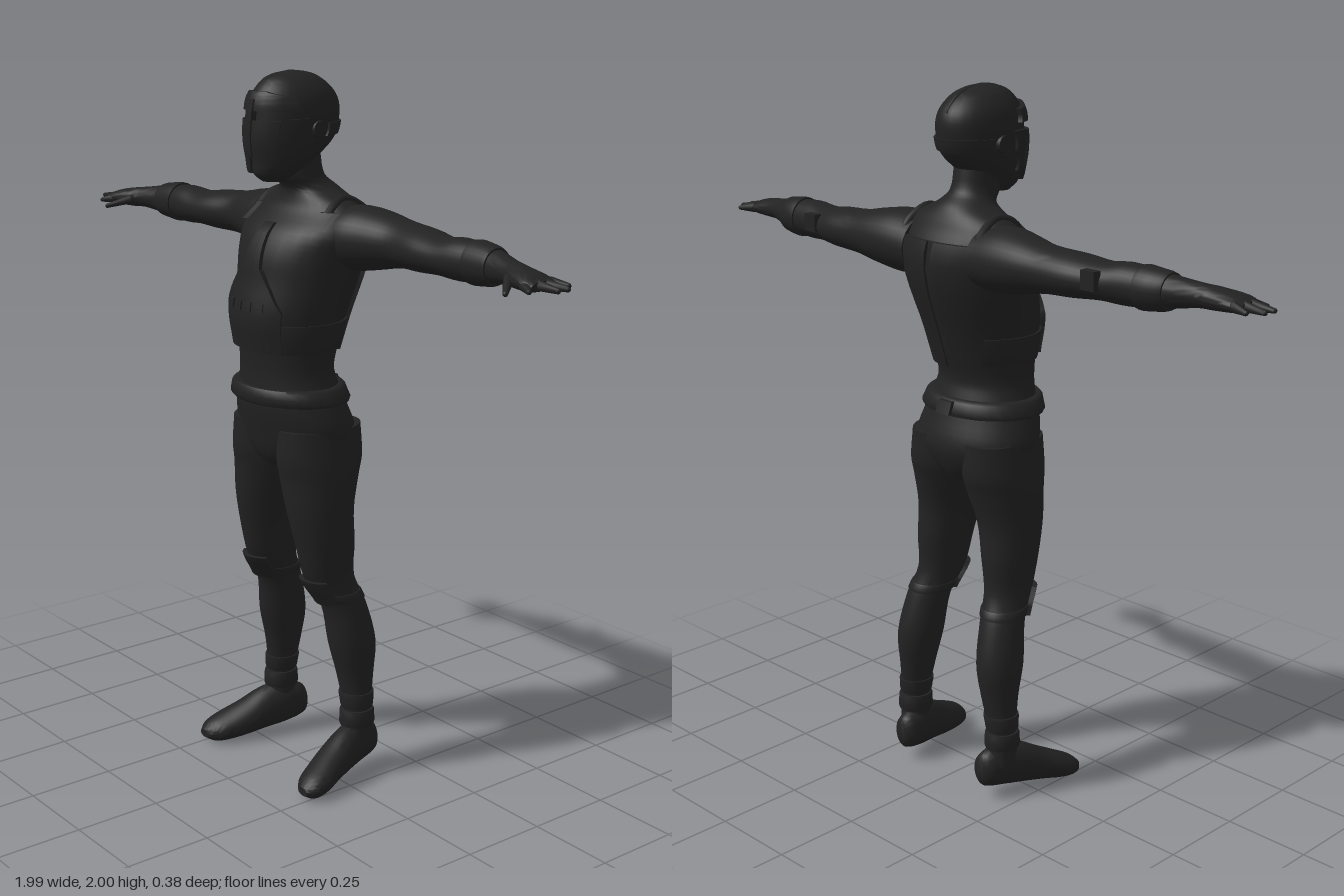
import * as THREE from 'three';
import { toCreasedNormals } from 'three/addons/utils/BufferGeometryUtils.js';

// Sections are [t, centre1, centre2, radius1, radius2] along one axis
const TORSO = [[0.92, 0, 0, 0.06, 0.1], [0.96, 0, 0, 0.15, 0.122], [1.02, 0, 0, 0.196, 0.138], [1.1, 0, 0.02, 0.18, 0.135],
  [1.16, 0, 0.03, 0.155, 0.125], [1.2, 0, 0.035, 0.146, 0.12], [1.26, 0, 0.03, 0.15, 0.13], [1.35, 0, 0.022, 0.165, 0.15],
  [1.45, 0, -0.005, 0.185, 0.158], [1.52, 0, -0.02, 0.2, 0.158], [1.58, 0, -0.035, 0.215, 0.14], [1.63, 0, -0.05, 0.19, 0.1],
  [1.66, 0, -0.05, 0.15, 0.085], [1.69, 0, -0.04, 0.085, 0.075], [1.72, 0, -0.01, 0.065, 0.07], [1.78, 0, 0, 0.062, 0.065]];
const HEAD = [[1.71, 0, 0.08, 0.03, 0.03], [1.73, 0, 0.07, 0.052, 0.065], [1.77, 0, 0.045, 0.078, 0.095],
  [1.82, 0, 0.02, 0.094, 0.128], [1.88, 0, 0.01, 0.1, 0.135], [1.93, 0, 0.01, 0.094, 0.128],
  [1.97, 0, 0.015, 0.07, 0.096], [1.99, 0, 0.02, 0.042, 0.058], [2, 0, 0.02, 0.005, 0.008]];
const ARM = [[0.12, 1.56, -0.07, 0.085, 0.1], [0.2, 1.565, -0.075, 0.088, 0.1], [0.27, 1.567, -0.085, 0.078, 0.088],
  [0.35, 1.567, -0.09, 0.063, 0.074], [0.45, 1.565, -0.08, 0.057, 0.077], [0.53, 1.563, -0.07, 0.05, 0.067],
  [0.6, 1.565, -0.065, 0.055, 0.058], [0.7, 1.565, -0.062, 0.046, 0.045], [0.8, 1.565, -0.037, 0.031, 0.035],
  [0.84, 1.562, -0.025, 0.029, 0.041], [0.9, 1.558, -0.015, 0.022, 0.05], [0.93, 1.555, -0.015, 0.012, 0.045]];
const LEG = [[1.04, 0.1, 0, 0.09, 0.13], [0.95, 0.103, 0, 0.1, 0.13], [0.9, 0.106, 0.003, 0.1, 0.118], [0.8, 0.12, 0.01, 0.085, 0.1],
  [0.7, 0.13, 0, 0.072, 0.09], [0.6, 0.135, -0.012, 0.06, 0.076], [0.52, 0.15, -0.05, 0.06, 0.067], [0.4, 0.163, -0.073, 0.062, 0.072],
  [0.3, 0.17, -0.08, 0.05, 0.055], [0.2, 0.18, -0.08, 0.04, 0.042], [0.1, 0.18, -0.08, 0.042, 0.05]];
const FOOT = [[-0.155, 0.165, 0.087, 0.018, 0.028], [-0.143, 0.166, 0.087, 0.034, 0.048], [-0.08, 0.175, 0.09, 0.045, 0.066],
  [-0.02, 0.19, 0.08, 0.05, 0.064], [0.04, 0.205, 0.06, 0.055, 0.052], [0.1, 0.225, 0.041, 0.055, 0.041],
  [0.14, 0.235, 0.031, 0.045, 0.03], [0.165, 0.24, 0.027, 0.02, 0.012]];
const alongY = (t, p, q) => [p, t, q];
const alongX = (t, p, q) => [t, p, q];
const alongZ = (t, p, q) => [p, q, t];

// Smooth section at t, by Hermite interpolation
function sample(secs, t) {
  const dir = Math.sign(secs[1][0] - secs[0][0]);
  let i = 0;
  while (i < secs.length - 2 && (t - secs[i + 1][0]) * dir > 0) i++;
  const a = secs[i], b = secs[i + 1], h = b[0] - a[0];
  const p = secs[Math.max(i - 1, 0)], n = secs[Math.min(i + 2, secs.length - 1)];
  const u = THREE.MathUtils.clamp((t - a[0]) / h, 0, 1), u2 = u * u, u3 = u2 * u;
  return [1, 2, 3, 4].map(k => {
    const ma = (b[k] - p[k]) / (b[0] - p[0]) * h, mb = (n[k] - a[k]) / (n[0] - a[0]) * h;
    return (2 * u3 - 3 * u2 + 1) * a[k] + (u3 - 2 * u2 + u) * ma + (3 * u2 - 2 * u3) * b[k] + (u3 - u2) * mb;
  });
}

// Closed solid from rings of points; corner order is set by the sign of its volume
function solid(rings) {
  const n = rings[0].length, pts = rings.flat(), idx = [];
  for (let i = 0; i < rings.length - 1; i++) for (let j = 0; j < n; j++) {
    const a = i * n + j, b = i * n + (j + 1) % n;
    idx.push(a, b, b + n, a, b + n, a + n);
  }
  const last = (rings.length - 1) * n;
  for (let j = 0; j < n / 2 - 1; j++) {
    const q = [j, j + 1, n - 2 - j, n - 1 - j];
    idx.push(q[0], q[2], q[1], q[0], q[3], q[2]);
    idx.push(...[q[0], q[1], q[2], q[0], q[2], q[3]].map(v => v + last));
  }
  let vol = 0;
  const v = pts.map(p => new THREE.Vector3(...p)), c = new THREE.Vector3();
  for (let i = 0; i < idx.length; i += 3) vol += v[idx[i]].dot(c.crossVectors(v[idx[i + 1]], v[idx[i + 2]]));
  if (vol < 0) idx.reverse();
  const g = new THREE.BufferGeometry();
  g.setAttribute('position', new THREE.Float32BufferAttribute(pts.flat(), 3));
  g.setIndex(idx);
  return toCreasedNormals(g, 0.8);
}

function ring([p, q, rp, rq], t, axis, grow = 0, n = 32) {
  return Array.from({ length: n }, (_, j) => {
    const a = j / n * Math.PI * 2;
    return axis(t, p + (rp + grow) * Math.cos(a), q + (rq + grow) * Math.sin(a));
  });
}

// Body part through all its sections
function loft(secs, axis) {
  const rings = [];
  secs.forEach((s, i) => {
    const next = secs[i + 1];
    for (let k = 0; k < (next ? 4 : 1); k++) {
      const t = next ? s[0] + (next[0] - s[0]) * k / 4 : s[0];
      rings.push(ring(sample(secs, t), t, axis));
    }
  });
  return solid(rings);
}

// Raised band around a body part
function band(secs, axis, t0, t1, th) {
  const profile = [[0, -0.004], [0, th * 0.7], [0.15, th], [0.5, th], [0.85, th], [1, th * 0.7], [1, -0.004]];
  return solid(profile.map(([u, g]) => { const t = t0 + (t1 - t0) * u; return ring(sample(secs, t), t, axis, g); }));
}

// Raised plate hugging the front (side 1) or back (side -1); rows are [y, xMin, xMax]
function plate(secs, rows, side, th) {
  const rings = [], cols = 10;
  const point = (y, x, g) => {
    const [cx, cz, rx, rz] = sample(secs, y);
    const a = Math.acos(THREE.MathUtils.clamp((x - cx) / rx, -1, 1));
    return [cx + (rx + g) * Math.cos(a), y, cz + side * (rz + g) * Math.sin(a)];
  };
  for (let i = 0; i < rows.length - 1; i++) for (let k = i ? 1 : 0; k <= 5; k++) {
    const [y, x0, x1] = rows[i].map((v, m) => v + (rows[i + 1][m] - v) * k / 5);
    const line = g => Array.from({ length: cols + 1 }, (_, j) => point(y, x0 + (x1 - x0) * j / cols, g));
    rings.push([...line(th), ...line(-0.006).reverse()]);
  }
  return solid(rings);
}

// Tapered rounded finger from a to b
function finger(a, b, ra, rb) {
  const A = new THREE.Vector3(...a), d = new THREE.Vector3(...b).sub(A), len = d.length();
  const g = new THREE.CapsuleGeometry(1, len, 5, 10), pos = g.attributes.position;
  for (let i = 0; i < pos.count; i++) {
    const y = pos.getY(i), u = THREE.MathUtils.clamp(y / len + 0.5, 0, 1), r = ra + (rb - ra) * u;
    const cap = y - THREE.MathUtils.clamp(y, -len / 2, len / 2);
    pos.setXYZ(i, pos.getX(i) * r, u * len + cap * r, pos.getZ(i) * r);
  }
  g.computeVertexNormals();
  g.applyQuaternion(new THREE.Quaternion().setFromUnitVectors(new THREE.Vector3(0, 1, 0), d.normalize()));
  return g.translate(...a);
}

function mirrored(geo) {
  const g = geo.index ? geo.toNonIndexed() : geo.clone();
  g.scale(-1, 1, 1);
  for (const at of [g.attributes.position, g.attributes.normal]) for (let i = 0; i < at.count; i += 3) for (let k = 0; k < 3; k++) {
    const s = at.getComponent(i + 1, k);
    at.setComponent(i + 1, k, at.getComponent(i + 2, k));
    at.setComponent(i + 2, k, s);
  }
  return g;
}

export function createModel() {
  const model = new THREE.Group();
  model.name = 'armouredFigure';
  const black = new THREE.MeshStandardMaterial({ name: 'matte black', color: 0x222222 });
  const add = (name, geo) => {
    const m = new THREE.Mesh(geo, black);
    m.name = name;
    model.add(m);
  };
  const pair = (name, geo) => { add(name + 'Left', geo); add(name + 'Right', mirrored(geo)); };
  const tube = (pts, r) => new THREE.TubeGeometry(new THREE.CatmullRomCurve3(pts.map(p => new THREE.Vector3(...p))), 24, r, 8);

  // Body
  add('torso', loft(TORSO, alongY));
  pair('arm', loft(ARM, alongX));
  pair('leg', loft(LEG, alongY));
  pair('foot', loft(FOOT, alongZ));
  [[[0.91, 1.557, -0.052], [0.955, 1.553, -0.068]], [[0.92, 1.557, -0.028], [0.985, 1.553, -0.035]],
    [[0.92, 1.557, -0.002], [0.987, 1.553, 0.0]], [[0.9, 1.555, 0.022], [0.935, 1.548, 0.042]],
    [[0.83, 1.558, 0.005], [0.877, 1.537, 0.061]]].forEach(([a, b], i) => pair('finger' + (i + 1), finger(a, b, 0.014, 0.007)));

  // Helmet
  add('helmet', loft(HEAD, alongY));
  add('browPlate', plate(HEAD, [[1.9, -0.092, 0.092], [1.935, -0.085, 0.085], [1.95, -0.03, 0.03]], 1, 0.012));
  pair('maskHalf', plate(HEAD, [[1.735, 0.005, 0.035], [1.78, 0.005, 0.06], [1.875, 0.005, 0.072]], 1, 0.013));
  add('noseGuard', plate(HEAD, [[1.78, -0.008, 0.008], [1.93, -0.012, 0.012]], 1, 0.018));
  pair('cheekGuard', plate(HEAD, [[1.77, 0.064, 0.076], [1.83, 0.078, 0.093], [1.88, 0.078, 0.098]], 1, 0.008));
  add('helmetBackBand', plate(HEAD, [[1.83, -0.09, 0.09], [1.865, -0.094, 0.094]], -1, 0.006));
  add('crest', tube([[0, 1.93, 0.135], [0, 1.975, 0.098], [0, 1.993, 0.03], [0, 1.975, -0.07], [0, 1.93, -0.116]], 0.006));
  const ear = new THREE.CylinderGeometry(0.022, 0.026, 0.018, 20).rotateZ(-Math.PI / 2).translate(0.096, 1.85, 0.0);
  pair('earDisc', ear);

  // Torso armour
  add('bellyPlate', plate(TORSO, [[1.26, -0.1, 0.1], [1.37, -0.11, 0.11], [1.43, -0.075, 0.075], [1.48, -0.04, 0.04]], 1, 0.016));
  add('sternumStrip', plate(TORSO, [[1.47, -0.036, 0.036], [1.6, -0.016, 0.02]], 1, 0.012));
  for (let i = 0; i < 4; i++) {
    const x = -0.066 + i * 0.036;
    add('beltPouch' + (i + 1), plate(TORSO, [[1.37, x, x + 0.025], [1.395, x, x + 0.025]], 1, 0.02));
  }
  add('ribBand', band(TORSO, alongY, 1.255, 1.335, 0.007));
  add('belt', band(TORSO, alongY, 1.11, 1.155, 0.018));
  add('beltBackClip', plate(TORSO, [[1.115, -0.022, 0.022], [1.15, -0.022, 0.022]], -1, 0.03));
  pair('collarPad', plate(TORSO, [[1.59, 0.14, 0.172], [1.635, 0.13, 0.17]], 1, 0.014));
  pair('shoulderStrap', tube([[0.15, 1.615, 0.02], [0.145, 1.652, -0.015], [0.135, 1.665, -0.06], [0.14, 1.63, -0.125], [0.14, 1.59, -0.145]], 0.012));
  pair('backPlate', plate(TORSO, [[1.24, 0.012, 0.085], [1.45, 0.012, 0.14], [1.6, 0.012, 0.155]], -1, 0.012));
  add('spineStrip', plate(TORSO, [[1.24, -0.012, 0.012], [1.6, -0.012, 0.012]], -1, 0.006));

  // Limb armour
  pair('wristCuff', band(ARM, alongX, 0.645, 0.725, 0.007));
  pair('elbowPad', new THREE.BoxGeometry(0.045, 0.05, 0.025).translate(0.53, 1.575, -0.137));
  pair('kneePad', plate(LEG, [[0.53, 0.105, 0.19], [0.56, 0.095, 0.19], [0.605, 0.09, 0.182]], 1, 0.014));
  pair('kneeStrap', band(LEG, alongY, 0.535, 0.56, 0.004));
  pair('upperAnkleCuff', band(LEG, alongY, 0.205, 0.25, 0.006));
  pair('lowerAnkleCuff', band(LEG, alongY, 0.15, 0.198, 0.009));
  return model;
}
